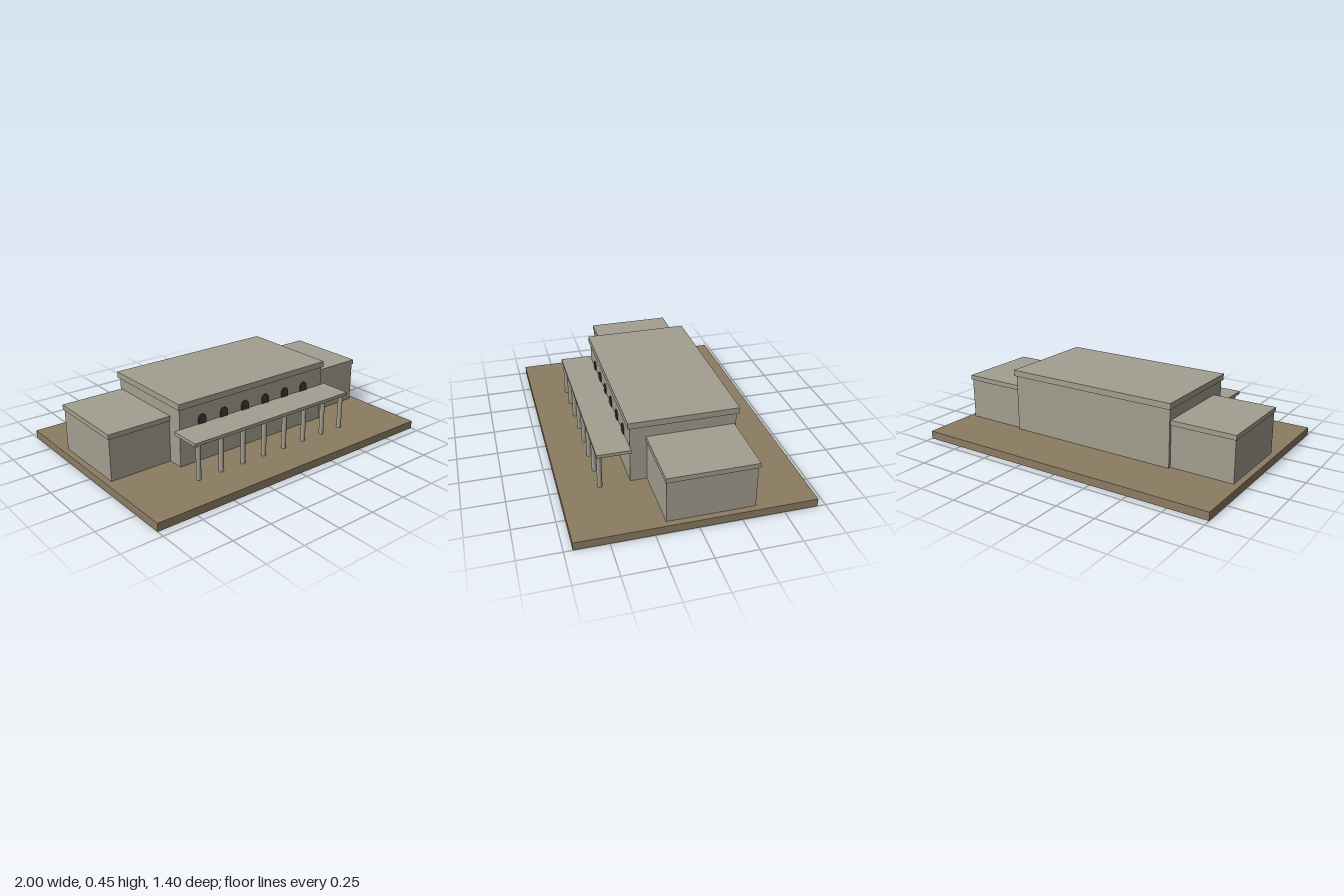
import * as THREE from 'three';

const stone = new THREE.MeshStandardMaterial({ color: 0xa39e90 });
const columnStone = new THREE.MeshStandardMaterial({ color: 0xa39e90, flatShading: true });
const earth = new THREE.MeshStandardMaterial({ color: 0x8c7c62, side: THREE.DoubleSide });
const glass = new THREE.MeshStandardMaterial({ color: 0x3c3832 });

// Box given by its limits on each axis
function block(name, [x0, x1], [y0, y1], [z0, z1], material = stone) {
  const mesh = new THREE.Mesh(new THREE.BoxGeometry(x1 - x0, y1 - y0, z1 - z0), material);
  mesh.position.set((x0 + x1) / 2, (y0 + y1) / 2, (z0 + z1) / 2);
  mesh.name = name;
  return mesh;
}

// Upright panel with a round arched head, origin at the bottom centre
function archGeometry(width, height, depth) {
  const r = width / 2;
  const shape = new THREE.Shape();
  shape.moveTo(-r, 0);
  shape.lineTo(r, 0);
  shape.lineTo(r, height - r);
  shape.absarc(0, height - r, r, 0, Math.PI, false);
  shape.closePath();
  return new THREE.ExtrudeGeometry(shape, { depth, bevelEnabled: false, curveSegments: 12 });
}

// Ground slab, hollow and open underneath
function createGround() {
  const ground = block('ground', [-1, 1], [0, 0.05], [-0.7, 0.7], earth);
  const index = Array.from(ground.geometry.index.array);
  index.splice(18, 6); // the bottom face
  ground.geometry.setIndex(index);
  ground.geometry.clearGroups();
  return ground;
}

export function createModel() {
  const model = new THREE.Group();
  model.name = 'colonnadedBuilding';
  model.add(createGround());

  // Entrance steps sunk into the slab
  const steps = new THREE.Group();
  steps.name = 'entranceSteps';
  for (let i = 0; i < 3; i++) {
    const z = 0.495 + i * 0.035;
    steps.add(block('step', [-0.11, 0.11], [0.004, 0.048 - i * 0.014], [z, z + 0.035]));
  }
  model.add(steps);

  // Central hall
  model.add(block('hallWalls', [-0.562, 0.557], [0.05, 0.412], [-0.356, 0.281]));
  model.add(block('hallRoof', [-0.572, 0.567], [0.412, 0.45], [-0.371, 0.292]));

  // Lower wings on both sides
  for (const side of [-1, 1]) {
    const wing = new THREE.Group();
    wing.name = side > 0 ? 'leftWing' : 'rightWing';
    const span = (outer) => [side * outer, side * 0.54].sort((a, b) => a - b);
    wing.add(block('wingWalls', span(0.962), [0.05, 0.311], [-0.338, 0.18]));
    wing.add(block('wingRoof', span(0.968), [0.311, 0.341], [-0.347, 0.186]));
    model.add(wing);
  }

  // Portico roof, columns, and a window behind each inner column
  model.add(block('porticoRoof', [-0.6, 0.594], [0.268, 0.288], [0.279, 0.481]));
  const columnGeometry = new THREE.CylinderGeometry(0.015, 0.015, 0.218, 12);
  const windowGeometry = archGeometry(0.054, 0.156, 0.01);
  for (let i = 0; i < 8; i++) {
    const x = -0.003 + (i - 3.5) * 0.1605;
    const column = new THREE.Mesh(columnGeometry, columnStone);
    column.name = 'column';
    column.position.set(x, 0.159, 0.462);
    model.add(column);
    if (i === 0 || i === 7) continue;
    const window = new THREE.Mesh(windowGeometry, glass);
    window.name = 'archedWindow';
    window.position.set(x, 0.19, 0.278);
    model.add(window);
  }
  return model;
}
